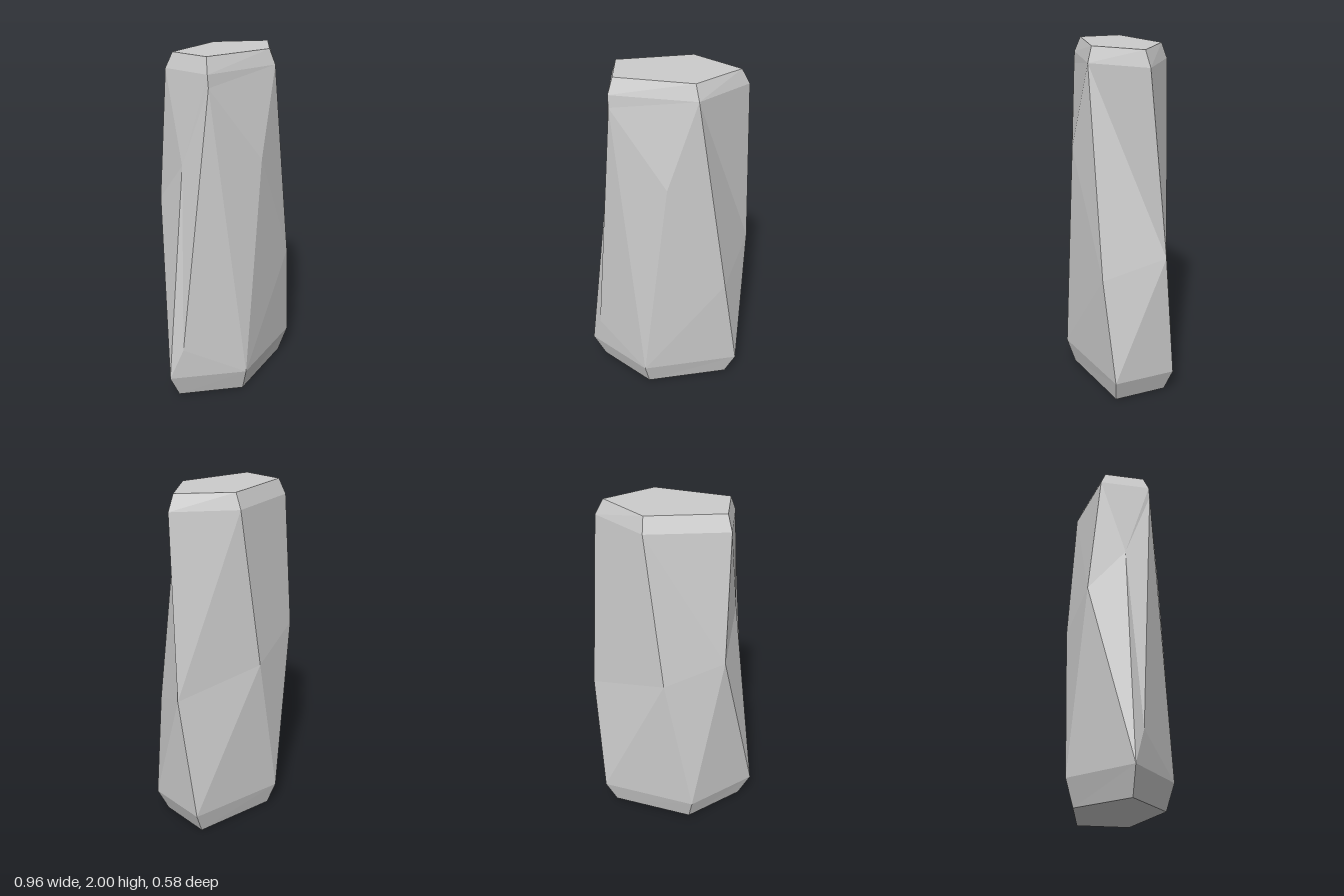
import * as THREE from 'three';

const ring = (y, points) => points.map(([x, z]) => new THREE.Vector3(x, y, z));
const v = (x, y, z) => new THREE.Vector3(x, y, z);

// Faceted geometry from flat polygons, each turned to face away from the centre
function facetGeometry(polygons) {
  const centre = v(0, 1, 0), points = [];
  for (const p of polygons) {
    for (let i = 1; i < p.length - 1; i++) {
      const tri = new THREE.Triangle(p[0], p[i], p[i + 1]);
      const outward = tri.getMidpoint(v(0, 0, 0)).sub(centre);
      const faces = tri.getNormal(v(0, 0, 0)).dot(outward) > 0;
      points.push(tri.a, faces ? tri.b : tri.c, faces ? tri.c : tri.b);
    }
  }
  const geometry = new THREE.BufferGeometry().setFromPoints(points);
  geometry.computeVertexNormals();
  return geometry;
}

// Strip of quads between two rings
const band = (a, b) => a.map((p, i) => {
  const j = (i + 1) % a.length;
  return [p, a[j], b[j], b[i]];
});

export function createModel() {
  const group = new THREE.Group();
  group.name = 'standingRock';

  // Five-sided rings of the bevelled foot and top
  const base = ring(0, [[-0.41, 0], [-0.11, 0.245], [0.375, 0.153], [0.375, -0.153], [-0.11, -0.245]]);
  const low = ring(0.147, [[-0.482, 0], [-0.132, 0.288], [0.435, 0.178], [0.435, -0.18], [-0.132, -0.29]]);
  const high = ring(1.917, [[-0.295, 0.145], [0.16, 0.224], [0.425, -0.01], [0.14, -0.232], [-0.295, -0.15]]);
  const cap = ring(2, [[-0.27, 0.117], [0.142, 0.196], [0.38, 0], [0.14, -0.198], [-0.27, -0.12]]);

  // Irregular corners around the body
  const shoulder = v(-0.293, 1.85, 0.15), front = v(0.003, 1.435, 0.268);
  const frontLeft = v(0.34, 0.76, 0.218), left = v(0.48, 0.905, -0.097);
  const back = v(0.035, 1.04, -0.29), backRight = v(-0.295, 1.18, -0.22);
  const right = v(-0.33, 1.42, -0.01), heel = v(-0.425, 0.34, 0.058);

  const body = [
    // front
    [shoulder, high[0], high[1], front],
    [shoulder, front, low[1], heel],
    [heel, low[1], low[0]],
    [high[1], front, frontLeft],
    [front, low[1], frontLeft],
    [low[1], frontLeft, low[2]],
    // left side
    [high[1], frontLeft, left, high[2]],
    [frontLeft, left, low[2]],
    [left, low[2], low[3]],
    // back
    [high[3], high[2], left, back],
    [left, back, low[3]],
    [back, low[3], low[4]],
    [high[3], back, backRight, high[4]],
    [back, backRight, low[4]],
    [backRight, low[4], low[0]],
    // right side
    [backRight, right, low[0]],
    [high[4], backRight, right],
    [right, high[4], high[0], shoulder],
    [right, shoulder, heel],
    [right, heel, low[0]],
  ];

  const material = new THREE.MeshStandardMaterial({ color: 0xcccccc, flatShading: true });
  const add = (name, polygons) => {
    const mesh = new THREE.Mesh(facetGeometry(polygons), material);
    mesh.name = name;
    group.add(mesh);
  };
  add('bevelledFoot', [base, ...band(base, low)]);
  add('rockBody', body);
  add('bevelledTop', [cap, ...band(high, cap)]);
  return group;
}
